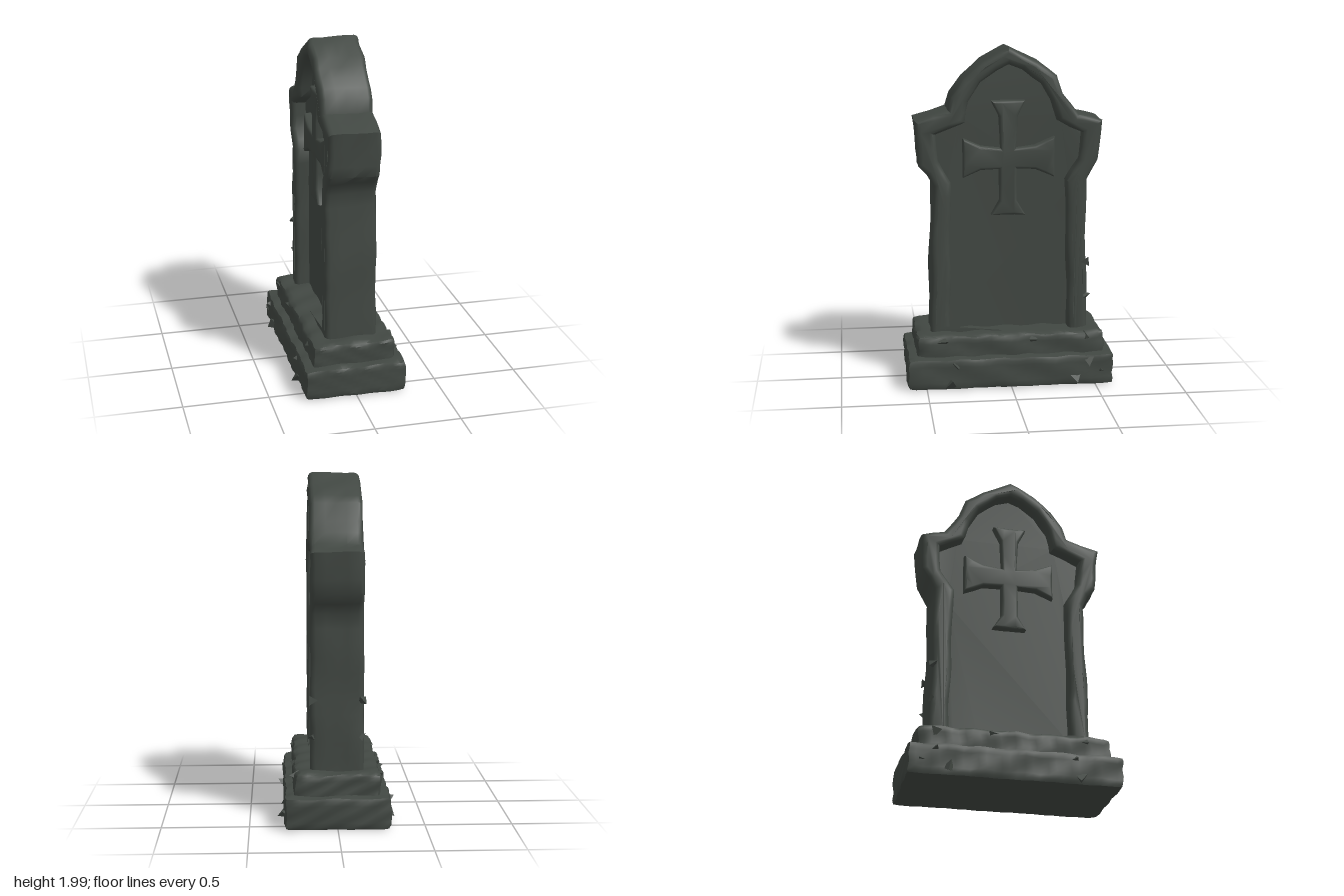
import * as THREE from 'three';
import { toCreasedNormals } from 'three/addons/utils/BufferGeometryUtils.js';

const stone = new THREE.MeshStandardMaterial({ color: 0x414742 });
stone.name = 'dark stone';

// Outlines as [z, y]
const OUTER = [
  [0.465, 0.25], [0.455, 0.8], [0.44, 1.2], [0.475, 1.27], [0.525, 1.32], [0.53, 1.38], [0.545, 1.58],
  [0.44, 1.615], [0.35, 1.64], [0.33, 1.72], [0.26, 1.82], [0.15, 1.915], [0.05, 1.975], [0, 2.0],
  [-0.06, 1.965], [-0.17, 1.915], [-0.28, 1.835], [-0.32, 1.73], [-0.41, 1.61], [-0.545, 1.575],
  [-0.53, 1.34], [-0.46, 1.22], [-0.46, 0.8], [-0.475, 0.25],
];
const INNER = [
  [0.35, 0.28], [0.345, 0.8], [0.34, 1.22], [0.41, 1.34], [0.43, 1.5], [0.26, 1.57],
  [0.235, 1.69], [0.16, 1.8], [0.07, 1.87], [0, 1.9], [-0.08, 1.87], [-0.19, 1.79],
  [-0.25, 1.69], [-0.29, 1.57], [-0.43, 1.5], [-0.42, 1.34], [-0.34, 1.22], [-0.35, 0.8], [-0.36, 0.28],
];
const CROSS = [
  [0.1, 1.69], [0.055, 1.6], [0.045, 1.41], [0.16, 1.425], [0.265, 1.47], [0.265, 1.24],
  [0.16, 1.285], [0.05, 1.29], [0.05, 1.1], [0.1, 1.015], [-0.1, 1.015], [-0.05, 1.1],
  [-0.05, 1.29], [-0.16, 1.285], [-0.275, 1.235], [-0.275, 1.475], [-0.16, 1.425], [-0.045, 1.41],
  [-0.055, 1.6], [-0.1, 1.69],
];

// Split long edges so that the weathering can bend them
function subdivide(points, step = 0.08) {
  const out = [];
  points.forEach(([ax, ay], i) => {
    const [bx, by] = points[(i + 1) % points.length];
    const n = Math.max(1, Math.round(Math.hypot(bx - ax, by - ay) / step));
    for (let k = 0; k < n; k++) {
      out.push(new THREE.Vector2(ax + (bx - ax) * k / n, ay + (by - ay) * k / n));
    }
  });
  return out;
}

// Weathering: push each vertex by a smooth function of its position, keeping the underside flat
function weather(geo, amount) {
  const p = geo.attributes.position;
  for (let i = 0; i < p.count; i++) {
    const x = p.getX(i), y = p.getY(i), z = p.getZ(i);
    const lift = y < 0.05 ? 0 : 0.6 * amount * Math.sin(29 * z + 19 * x);
    p.setXYZ(i,
      x + amount * Math.sin(23 * y + 17 * z) * Math.cos(31 * z - 9 * y),
      y + lift,
      z + amount * Math.sin(27 * y + 21 * x) * Math.cos(13 * x + 41 * y));
  }
  return toCreasedNormals(geo.index ? geo.toNonIndexed() : geo, 0.75);
}

function add(group, name, geo) {
  const mesh = new THREE.Mesh(geo, stone);
  mesh.name = name;
  group.add(mesh);
  return mesh;
}

// Bevelled slab with its outline in the z-y plane and its thickness along x
function slab(points, halfThick, bevel, hole, amount) {
  const shape = new THREE.Shape(subdivide(points));
  if (hole) shape.holes.push(new THREE.Path(subdivide(hole)));
  const depth = 2 * (halfThick - bevel);
  const geo = new THREE.ExtrudeGeometry(shape, {
    depth, steps: 4, bevelEnabled: bevel > 0, bevelThickness: bevel,
    bevelSize: bevel, bevelOffset: -bevel, bevelSegments: 3,
  });
  geo.translate(0, 0, -depth / 2).rotateY(-Math.PI / 2);
  return weather(geo, amount);
}

// Subdivided block with rounded edges
function block(w, h, d, y, radius, amount) {
  const geo = new THREE.BoxGeometry(w, h, d, 14, 8, 28);
  const p = geo.attributes.position;
  const half = new THREE.Vector3(w / 2 - radius, h / 2 - radius, d / 2 - radius);
  const low = half.clone().negate();
  const v = new THREE.Vector3(), core = new THREE.Vector3();
  for (let i = 0; i < p.count; i++) {
    v.fromBufferAttribute(p, i);
    core.copy(v).clamp(low, half);
    v.sub(core);
    if (v.lengthSq() > 0) v.setLength(radius);
    v.add(core);
    p.setXYZ(i, v.x, v.y, v.z);
  }
  geo.translate(0, y, 0);
  return weather(geo, amount);
}

export function createModel() {
  const model = new THREE.Group();
  model.name = 'gravestone';

  // Stepped plinth
  add(model, 'lowerPlinth', block(0.6, 0.19, 1.22, 0.105, 0.025, 0.007));
  add(model, 'upperPlinth', block(0.49, 0.18, 1.11, 0.235, 0.03, 0.008));

  // Headstone: raised border, deeply recessed panel and a cross on both faces
  add(model, 'border', slab(OUTER, 0.152, 0.03, INNER, 0.005));
  const panel = INNER.map(([z, y]) => [z * 1.08, 1 + (y - 1) * 1.05]);
  add(model, 'panel', slab(panel, 0.065, 0, null, 0.003));
  add(model, 'cross', slab(CROSS, 0.115, 0.016, null, 0.002));

  // Broken chips along the edges: [x, y, z, size]
  const chips = new THREE.Group();
  chips.name = 'chips';
  model.add(chips);
  const spots = [
    [0.3, 0.05, 0.36, 0.045], [0.3, 0.06, -0.38, 0.045], [0.29, 0.16, -0.46, 0.04],
    [0.29, 0.16, 0.33, 0.035], [0.29, 0.1, -0.53, 0.03], [0.24, 0.29, -0.13, 0.035],
    [0.235, 0.29, -0.45, 0.04], [0.235, 0.29, 0.4, 0.04], [0.145, 0.73, -0.46, 0.035],
    [0.14, 0.52, -0.46, 0.03],
  ];
  for (const side of [1, -1]) {
    spots.forEach(([x, y, z, size], i) => {
      const chip = add(chips, 'chip', new THREE.TetrahedronGeometry(size));
      chip.position.set(side * x, y, z);
      chip.rotation.set(i * 1.7, i * 2.3 + side, i * 0.9);
    });
  }
  return model;
}
